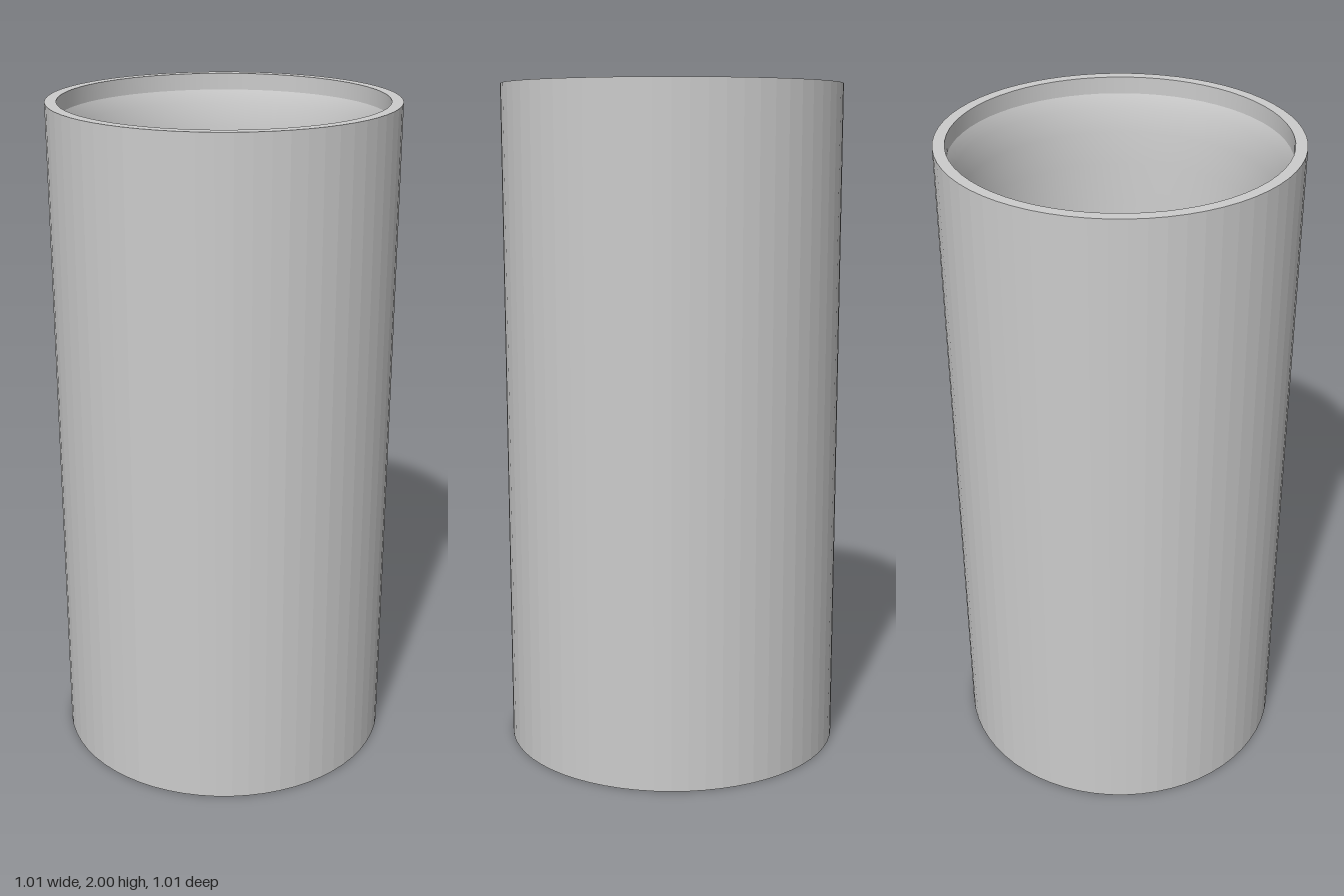
import * as THREE from 'three';

const SEGMENTS = 64;

// Revolve a profile of [radius, height] pairs around the y axis
function revolve(name, profile, flatShading = false) {
  const points = profile.map(([r, y]) => new THREE.Vector2(r, y));
  const material = new THREE.MeshStandardMaterial({
    color: 0xcccccc, flatShading, side: THREE.DoubleSide,
  });
  const mesh = new THREE.Mesh(new THREE.LatheGeometry(points, SEGMENTS), material);
  mesh.name = name;
  return mesh;
}

export function createModel() {
  const group = new THREE.Group();
  group.name = 'hollowCylinder';

  const outer = 0.505, inner = 0.472, throat = 0.425, throatY = 1.5, bowlY = 0.1;

  // Outer shell
  group.add(revolve('base', [[0, 0], [outer, 0]]));
  group.add(revolve('outerWall', [[outer, 0], [outer, 2]], true));
  group.add(revolve('rim', [[outer, 2], [inner, 2]]));

  // Short straight lip inside the mouth
  group.add(revolve('lip', [[inner, 2], [inner, 1.95]]));

  // Flared wall narrowing towards the throat
  group.add(revolve('flare', [
    [inner, 1.95], [0.455, 1.91], [0.443, 1.84], [0.436, 1.74], [0.431, 1.62], [throat, throatY],
  ]));

  // Deep rounded bowl closing the cavity
  const bowl = [];
  for (let i = 0; i <= 24; i++) {
    const a = (1 - i / 24) * Math.PI / 2;
    bowl.push([throat * Math.sin(a), throatY - (throatY - bowlY) * Math.cos(a)]);
  }
  group.add(revolve('bowl', bowl));

  return group;
}
